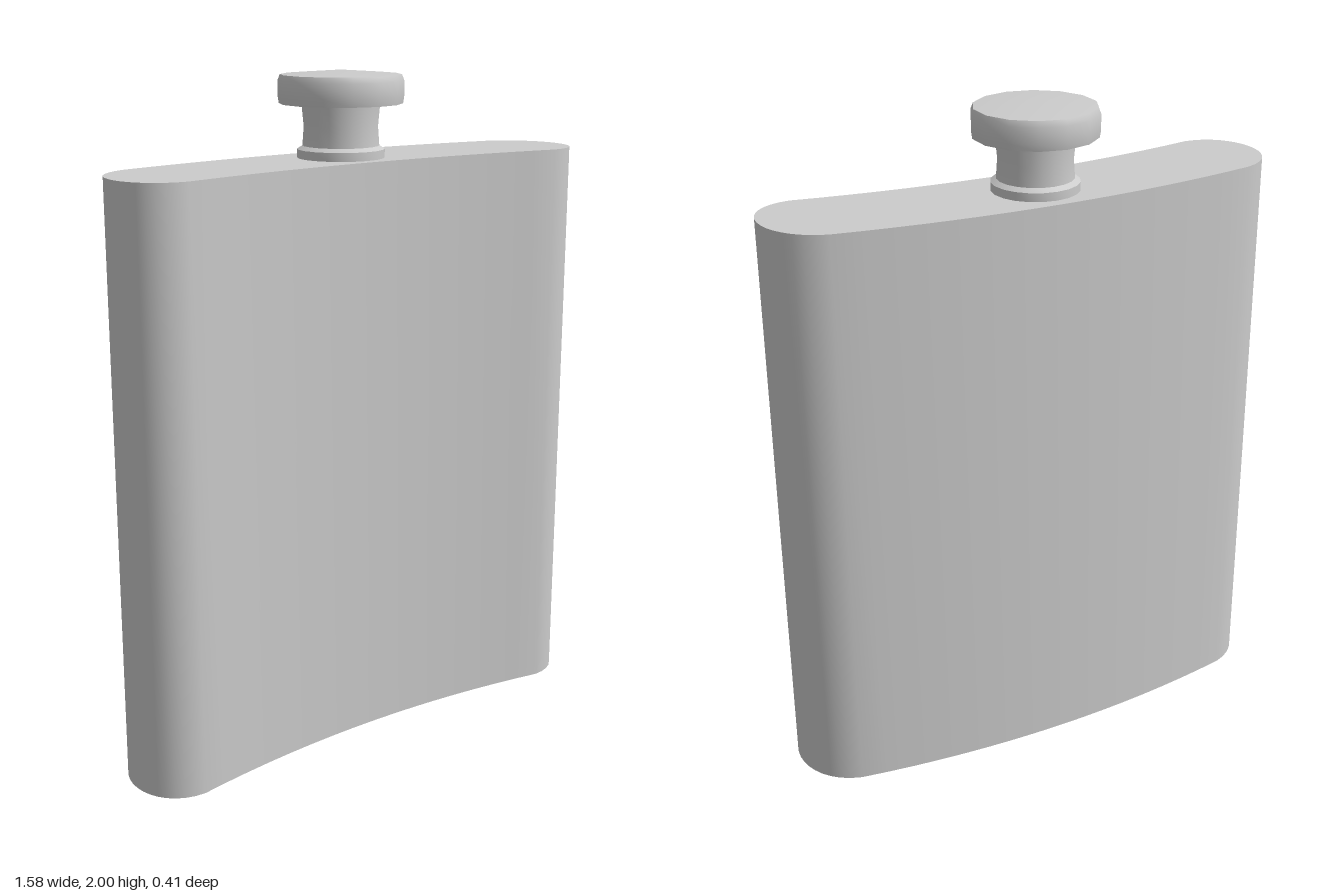
import * as THREE from 'three';
import { toCreasedNormals } from 'three/addons/utils/BufferGeometryUtils.js';

const material = new THREE.MeshStandardMaterial({ color: 0xcccccc });

function addPart(group, name, geometry, crease) {
  const mesh = new THREE.Mesh(toCreasedNormals(geometry, crease), material);
  mesh.name = name;
  group.add(mesh);
  return mesh;
}

// Curved footprint: hollow front, bulging back, rounded ends (shape y is -z)
function bodyShape() {
  const s = new THREE.Shape();
  s.moveTo(-0.65, -0.2);
  s.quadraticCurveTo(0, -0.076, 0.65, -0.2);
  s.bezierCurveTo(0.83, -0.2, 0.845, 0.07, 0.66, 0.125);
  s.quadraticCurveTo(0, 0.245, -0.66, 0.125);
  s.bezierCurveTo(-0.845, 0.07, -0.83, -0.2, -0.65, -0.2);
  return s;
}

function lathe(points, sides) {
  return new THREE.LatheGeometry(points.map(([r, y]) => new THREE.Vector2(r, y)), sides);
}

export function createModel() {
  const flask = new THREE.Group();
  flask.name = 'hipFlask';

  // Body
  const body = new THREE.ExtrudeGeometry(bodyShape(), {
    depth: 1.75, bevelEnabled: false, curveSegments: 16,
  });
  body.rotateX(-Math.PI / 2);
  addPart(flask, 'body', body, 0.7);

  // Neck with a flared collar at its base
  const top = new THREE.Group();
  top.name = 'spout';
  top.position.z = -0.022;
  flask.add(top);
  addPart(top, 'neck', lathe([
    [0.128, 1.745], [0.128, 1.775], [0.112, 1.785], [0.108, 1.84], [0.115, 1.915],
  ], 20), 0.6);

  // Screw cap with a slightly domed top
  addPart(top, 'cap', lathe([
    [0, 1.905], [0.18, 1.905], [0.183, 1.925], [0.183, 1.97], [0.176, 1.987], [0, 2],
  ], 14), 0.6);

  return flask;
}
